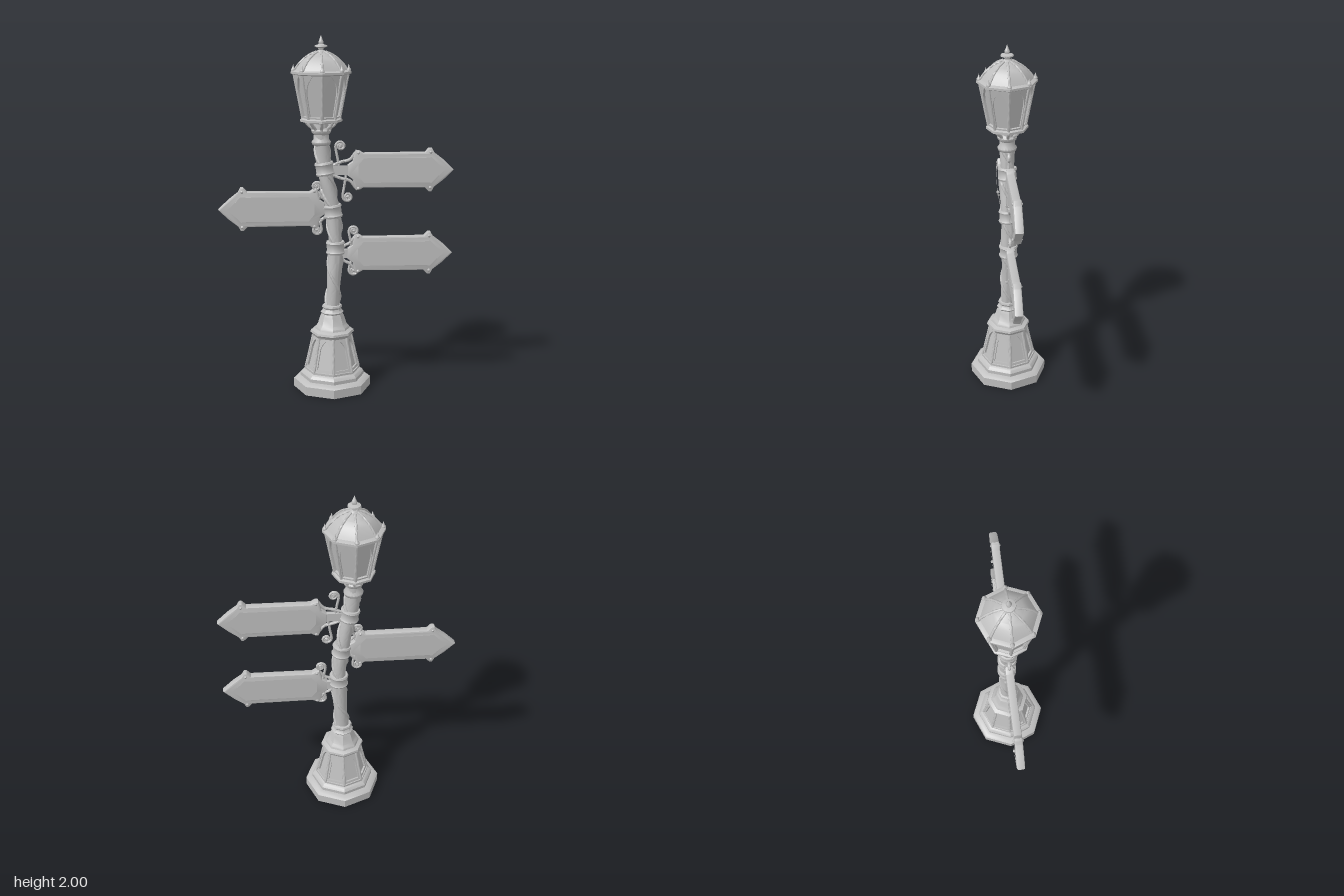
import * as THREE from 'three';
import { toCreasedNormals } from 'three/addons/utils/BufferGeometryUtils.js';

const V2 = (p) => p.map(([x, y]) => new THREE.Vector2(x, y));
const V3 = (p) => p.map(([x, y, z = 0]) => new THREE.Vector3(x, y, z));
const EIGHTH = Math.PI / 4;

export function createModel() {
  const model = new THREE.Group();
  const stone = new THREE.MeshStandardMaterial({ color: 0xbfbfbf });
  stone.name = 'castGrey';

  const add = (parent, name, geo, crease = 0.6) => {
    const mesh = new THREE.Mesh(crease ? toCreasedNormals(geo, crease) : geo, stone);
    mesh.name = name;
    parent.add(mesh);
    return mesh;
  };
  const group = (name, x, y = 0) => {
    const g = new THREE.Group();
    g.name = name;
    g.position.set(x, y, 0);
    model.add(g);
    return g;
  };
  const lathe = (pts, sides = 8) => new THREE.LatheGeometry(V2(pts), sides);
  const tube = (pts, r, n = 24) =>
    new THREE.TubeGeometry(new THREE.CatmullRomCurve3(V3(pts)), n, r, 7, false);

  // Pointed-arch frames laid on the eight sloping faces between two radii
  const archFrames = (parent, name, rB, rT, y0, y1, depth, margin) => {
    const ap = Math.cos(EIGHTH / 2), half = Math.sin(EIGHTH / 2);
    const tilt = Math.atan2((rT - rB) * ap, y1 - y0);
    const len = (y1 - y0) / Math.cos(tilt);
    const wB = rB * half, wT = rT * half;
    const shape = new THREE.Shape(V2([[-wB, 0], [wB, 0], [wT, len], [-wT, len]]));
    const b = wB - margin, spring = len * 0.58;
    const m = wB + (wT - wB) * 0.58 - margin;
    const hole = new THREE.Path();
    hole.moveTo(-b, margin);
    hole.lineTo(-m, spring);
    hole.quadraticCurveTo(-m, len * 0.8, 0, len - margin * 0.7);
    hole.quadraticCurveTo(m, len * 0.8, m, spring);
    hole.lineTo(b, margin);
    hole.closePath();
    shape.holes.push(hole);
    for (let i = 0; i < 8; i++) {
      const g = new THREE.ExtrudeGeometry(shape, { depth, bevelEnabled: false, curveSegments: 6 });
      g.translate(0, 0, -depth).rotateX(tilt).translate(0, y0, rB * ap).rotateY((i + 0.5) * EIGHTH);
      add(parent, name, g);
    }
  };

  // Eight tubes around an axis, each following a radius/height path
  const radialTubes = (parent, name, path, r) => {
    for (let i = 0; i < 8; i++) add(parent, name, tube(path, r, 14).rotateY(i * EIGHTH), 1);
  };

  // Hollow octagonal pedestal
  const base = group('base', -0.027);
  add(base, 'pedestal', lathe([
    [0, 0.34], [0.07, 0.33], [0.09, 0.28], [0.13, 0.1], [0.19, 0.05], [0.2, 0], [0.22, 0],
    [0.22, 0.05], [0.205, 0.062], [0.182, 0.066], [0.182, 0.085], [0.17, 0.1], [0.158, 0.106], [0.158, 0.118],
    [0.138, 0.12], [0.094, 0.3], [0.108, 0.302], [0.116, 0.318], [0.125, 0.326], [0.122, 0.338], [0.1, 0.348],
    [0.096, 0.36], [0.082, 0.375], [0.068, 0.42], [0.06, 0.436], [0.066, 0.445], [0.056, 0.455],
    [0.052, 0.465], [0.058, 0.475], [0.055, 0.485], [0.035, 0.49]]));
  archFrames(base, 'pedestalArch', 0.152, 0.11, 0.116, 0.306, 0.012, 0.017);
  radialTubes(base, 'pedestalRib', [[0, 0.115, 0.152], [0, 0.2, 0.132], [0, 0.31, 0.108]], 0.008);

  // Leaning column, swept along a bent axis
  const axis = new THREE.CatmullRomCurve3(V3([
    [-0.027, 0.46], [-0.017, 0.62], [-0.008, 0.82], [-0.023, 1.03], [-0.068, 1.27], [-0.085, 1.42], [-0.087, 1.52]]));
  const axisAt = (y) => {
    let lo = 0, hi = 1;
    for (let i = 0; i < 24; i++) {
      const mid = (lo + hi) / 2;
      if (axis.getPoint(mid).y < y) lo = mid; else hi = mid;
    }
    return lo;
  };
  const column = group('column', 0);
  const shaft = new THREE.CylinderGeometry(1, 1, 1, 28, 90, true);
  const pos = shaft.attributes.position;
  for (let i = 0; i < pos.count; i++) {
    const c = axis.getPoint(pos.getY(i) + 0.5);
    const a = Math.atan2(pos.getX(i), pos.getZ(i));
    const r = 0.04 + 0.003 * Math.cos(2 * a + c.y * 22);
    pos.setXYZ(i, c.x + Math.sin(a) * r, c.y, Math.cos(a) * r);
  }
  add(column, 'shaft', shaft, 1);

  // Vine strands winding round the shaft
  for (let s = 0; s < 2; s++) {
    const pts = [];
    for (let i = 0; i <= 60; i++) {
      const y = 0.48 + i * 0.0155;
      const a = -y * 15 + s * Math.PI;
      pts.push([axis.getPoint(axisAt(y)).x + Math.sin(a) * 0.039, y, Math.cos(a) * 0.039]);
    }
    add(column, 'vine', tube(pts, 0.009, 160), 1);
  }

  // Collars that carry the signs
  for (const y of [0.82, 1.03, 1.27]) {
    const t = axisAt(y);
    const collar = add(column, 'collar', lathe([
      [0.035, -0.038], [0.05, -0.036], [0.054, -0.026], [0.049, -0.018], [0.049, 0.018],
      [0.054, 0.026], [0.05, 0.036], [0.035, 0.038]], 20), 0.9);
    collar.position.copy(axis.getPoint(t));
    collar.quaternion.setFromUnitVectors(new THREE.Vector3(0, 1, 0), axis.getTangent(t));
  }

  // Arrow signs: frame, recessed panel, bracket and curled ironwork
  const mirrorX = (half) => [...half, ...half.slice(0, -1).reverse().map(([x, y]) => [x, -y])];
  const outline = mirrorX([[0, 0.03], [0.028, 0.05], [0.034, 0.085], [0.045, 0.112], [0.068, 0.108], [0.085, 0.097],
    [0.43, 0.099], [0.452, 0.122], [0.468, 0.122], [0.482, 0.096], [0.535, 0.055], [0.592, 0]]);
  const inset = mirrorX([[0.05, 0.035], [0.085, 0.078], [0.435, 0.078], [0.47, 0.082], [0.5, 0.05], [0.555, 0]]);
  const frameShape = new THREE.Shape(V2(outline));
  frameShape.holes.push(new THREE.Path(V2(inset)));
  const panelShape = new THREE.Shape(V2(inset.map(([x, y]) => [x < 0.1 ? x - 0.005 : x + 0.005, y * 1.06])));

  const scroll = (parent, cx, cy, s, r) => {
    const pts = [[cx - r * 0.3, s * 0.02], [cx - r * 0.6, s * (cy * 0.5)]];
    for (let i = 0; i <= 16; i++) {
      const a = Math.PI - (i / 16) * Math.PI * 3.1;
      const q = r * (1 - (0.78 * i) / 16);
      pts.push([cx + Math.cos(a) * q, s * (cy + Math.sin(a) * q)]);
    }
    add(parent, 'scroll', tube(pts, 0.0075, 64), 1);
    add(parent, 'scrollBead', new THREE.SphereGeometry(0.011, 10, 8).translate(cx, s * cy, 0), 1);
  };

  const signs = [
    { x: 0.06, y: 1.26, gap: 0.1, top: [-0.04, 0.135], low: [0, 0.15] },
    { x: -0.068, y: 1.045, gap: 0.03, top: [0.045, 0.125], low: [0.045, 0.122] },
    { x: 0.06, y: 0.785, gap: 0.04, top: [0.035, 0.13], low: [0.035, 0.1] }];
  for (const { x, y, gap, top, low } of signs) {
    const sign = group('sign', x, y);
    if (x < 0) sign.rotation.y = Math.PI;
    add(sign, 'signFrame', new THREE.ExtrudeGeometry(frameShape, {
      depth: 0.028, bevelThickness: 0.009, bevelSize: 0.009, bevelOffset: -0.009, bevelSegments: 2,
    }).translate(0, 0, -0.014), 0.5);
    add(sign, 'signPanel', new THREE.ExtrudeGeometry(panelShape, { depth: 0.024, bevelEnabled: false })
      .translate(0, 0, -0.012));
    add(sign, 'bracket', new THREE.BoxGeometry(gap + 0.04, 0.05, 0.024).translate(0.03 - gap / 2, 0, 0));
    scroll(sign, top[0], top[1], 1, 0.027);
    scroll(sign, low[0], low[1], -1, 0.027);
    for (const s of [1, -1]) {
      // Leaf arms from collar to sign corners
      add(sign, 'leafArm', tube([[-gap, s * 0.02], [-gap * 0.4, s * 0.045], [0.012, s * 0.06], [0.045, s * 0.1]], 0.009), 1);
      // Rivets on both faces
      for (const rx of [0.058, 0.46]) for (const z of [-0.02, 0.02]) {
        add(sign, 'rivet', new THREE.SphereGeometry(0.009, 8, 6).translate(rx, s * 0.099, z), 1);
      }
    }
  }

  // Capital and lantern
  const lamp = group('lantern', -0.086);
  add(lamp, 'capital', lathe([[0.03, 1.395], [0.05, 1.405], [0.054, 1.42], [0.043, 1.435], [0.041, 1.46],
    [0.052, 1.47], [0.054, 1.483], [0.04, 1.492], [0.032, 1.51], [0.045, 1.535]], 20), 0.9);
  radialTubes(lamp, 'supportArm', [[0, 1.475, 0.045], [0, 1.495, 0.05], [0, 1.51, 0.068], [0, 1.535, 0.088]], 0.009);
  add(lamp, 'lanternBody', lathe([[0, 1.528], [0.1, 1.528], [0.116, 1.532], [0.116, 1.545], [0.102, 1.552],
    [0.089, 1.556], [0.134, 1.785], [0.155, 1.788], [0.165, 1.793], [0.165, 1.805], [0.148, 1.812], [0, 1.812]]));
  archFrames(lamp, 'windowArch', 0.103, 0.148, 1.55, 1.788, 0.012, 0.01);
  radialTubes(lamp, 'windowPost', [[0, 1.548, 0.102], [0, 1.67, 0.125], [0, 1.79, 0.148]], 0.0075);

  // Domed roof with ribs and finials
  const dome = [[0.145, 1.808], [0.128, 1.835], [0.104, 1.862], [0.076, 1.885], [0.045, 1.902], [0.024, 1.91]];
  add(lamp, 'roof', lathe(dome), 0.5);
  radialTubes(lamp, 'roofRib', dome.map(([r, y]) => [0, y, r]), 0.007);
  for (let i = 0; i < 8; i++) {
    add(lamp, 'rimFinial', lathe([[0, 1.8], [0.012, 1.803], [0.013, 1.815], [0.006, 1.824], [0, 1.845]], 8)
      .translate(0, 0, 0.151).rotateY(i * EIGHTH), 1);
  }
  add(lamp, 'topFinial', lathe([[0.03, 1.9], [0.026, 1.912], [0.014, 1.92], [0.016, 1.93], [0.036, 1.937],
    [0.034, 1.944], [0.013, 1.95], [0.015, 1.962], [0.01, 1.972], [0, 2]], 14), 0.9);
  return model;
}
